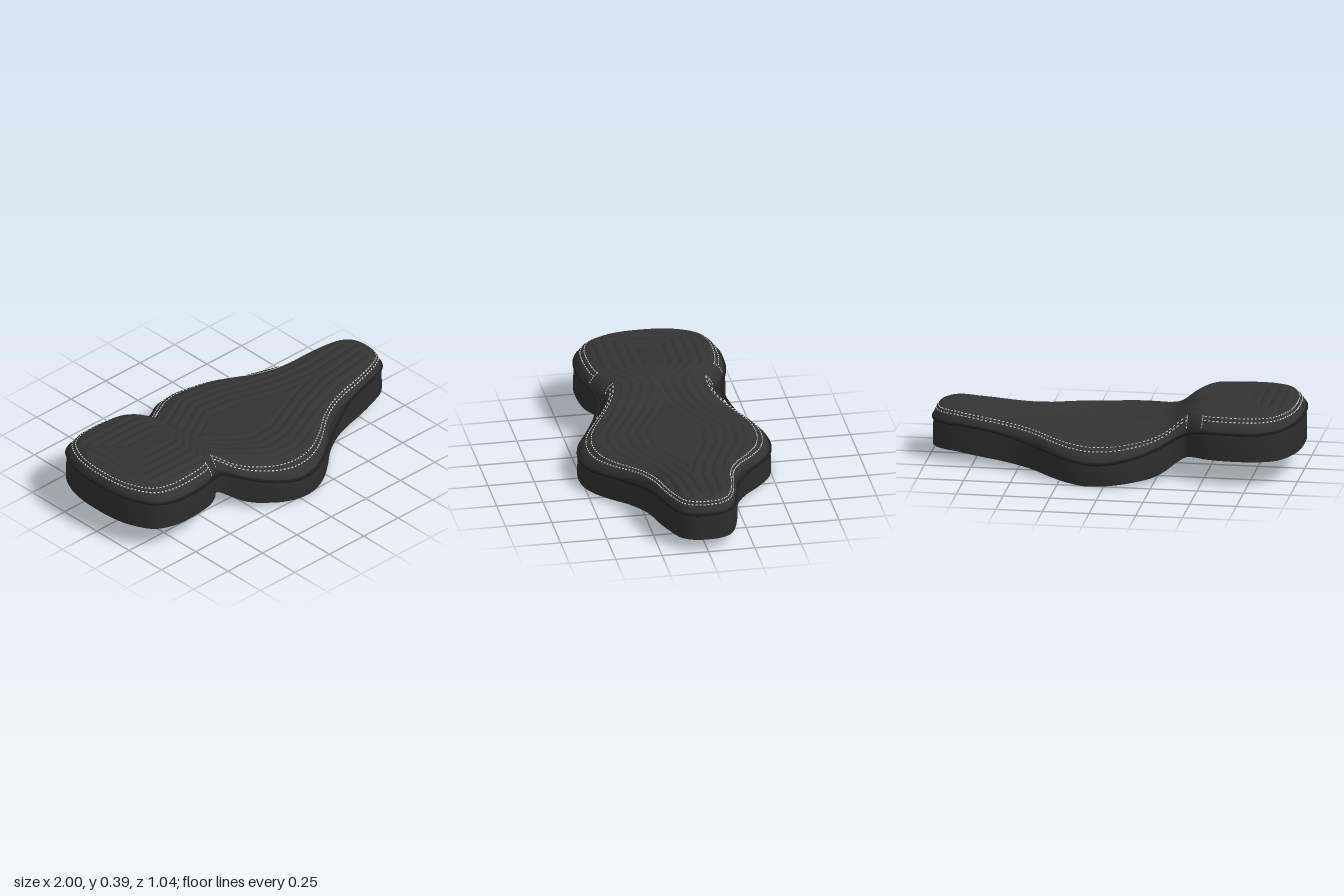
import * as THREE from 'three';
import { mergeGeometries } from 'three/addons/utils/BufferGeometryUtils.js';

const cover = new THREE.MeshStandardMaterial({ color: 0x333333 });
const base = new THREE.MeshStandardMaterial({ color: 0x2c2c2c });
const welt = new THREE.MeshStandardMaterial({ color: 0x1e1e1e });
const thread = new THREE.MeshStandardMaterial({ color: 0xd8d8d8 });
cover.name = 'black cover';
base.name = 'black base';
welt.name = 'dark piping';
thread.name = 'white thread';

// Piecewise-linear profile along x, softened by averaging over a small window
function profile(points, soft) {
  const at = (x) => {
    if (x <= points[0][0]) return points[0][1];
    for (let i = 1; i < points.length; i++) {
      const [x0, y0] = points[i - 1], [x1, y1] = points[i];
      if (x <= x1) return y0 + (y1 - y0) * (x - x0) / (x1 - x0);
    }
    return points[points.length - 1][1];
  };
  return (x) => {
    let sum = 0;
    for (let k = -3; k <= 3; k++) sum += at(x + k * soft / 3);
    return sum / 7;
  };
}

const topY = profile([[-1, 0.392], [-0.48, 0.39], [-0.41, 0.37], [-0.3, 0.272], [-0.24, 0.252],
  [-0.1, 0.235], [0.1, 0.224], [0.3, 0.235], [0.5, 0.256], [0.7, 0.282], [0.86, 0.303], [1, 0.305]], 0.03);
const seamY = profile([[-1, 0.307], [-0.8, 0.29], [-0.5, 0.287], [-0.42, 0.27], [-0.3, 0.2], [-0.2, 0.16],
  [0, 0.126], [0.1, 0.122], [0.2, 0.132], [0.4, 0.167], [0.6, 0.195], [0.8, 0.213], [1, 0.215]], 0.04);
const bottomY = profile([[-1, 0.14], [-0.46, 0.14], [-0.4, 0.122], [-0.3, 0.05], [-0.24, 0.028],
  [0, 0.008], [0.1, 0], [0.3, 0.012], [0.5, 0.028], [0.85, 0.066], [1, 0.068]], 0.03);
// Half width of the innermost quilted panel
const panel = profile([[-0.5, 0.07], [-0.38, -0.06], [-0.04, 0.15], [0.13, 0.14], [0.4, 0.03],
  [0.6, -0.02], [0.95, -0.03]], 0.012);

// Closed outline from the half widths of one side; runs rear, +z side, nose, -z side
function outline(waist, flank, count) {
  const half = [[-0.994, 0.12], [-0.968, 0.23], [-0.9, 0.345], [-0.8, 0.39], [-0.7, 0.398], [-0.6, 0.392],
    [-0.52, 0.375], ...waist, [-0.2, 0.432], [-0.1, 0.493], [0, 0.517], [0.1, 0.507], [0.2, 0.47],
    ...flank, [0.7, 0.212], [0.8, 0.19], [0.9, 0.158], [0.95, 0.125], [0.98, 0.07]];
  const pts = [[-1, 0], ...half, [0.988, 0], ...half.map(([x, z]) => [x, -z]).reverse()];
  const curve = new THREE.CatmullRomCurve3(pts.map(([x, z]) => new THREE.Vector3(x, 0, z)), true);
  curve.arcLengthDivisions = 1500;
  return curve.getSpacedPoints(count).slice(0, count);
}
const bodyOutline = (count) => outline([[-0.46, 0.34], [-0.405, 0.295], [-0.35, 0.31], [-0.3, 0.352]],
  [[0.3, 0.4], [0.4, 0.315], [0.5, 0.258], [0.6, 0.228]], count);
const pipeOutline = (count) => outline([[-0.46, 0.356], [-0.39, 0.34], [-0.3, 0.37]],
  [[0.3, 0.415], [0.4, 0.35], [0.5, 0.295], [0.6, 0.245]], count);

// Shrinks an outline point toward the middle spine
function inset(p, s) {
  const mid = THREE.MathUtils.clamp(p.x, -0.75, 0.8);
  return new THREE.Vector3(mid + (p.x - mid) * s, 0, p.z * s);
}

// Quilting grooves follow nested contours of the panel shape
function groove(x, z, s) {
  let d = Math.max(Math.abs(z) - panel(x), x - 0.87);
  if (x < -0.5) d = Math.max(d, -0.72 - x);
  if (d < -0.02) return 0;
  const fade = 1 - THREE.MathUtils.smoothstep(s, 0.74, 0.82);
  return 0.009 * fade * Math.pow(1 - Math.abs(Math.sin(Math.PI * d / 0.055)), 1.5);
}

function coverPoint(p, s) {
  const q = inset(p, s * 0.98);
  const rise = Math.pow(Math.max(0, 1 - Math.pow(s, 6)), 0.6);
  const low = seamY(q.x);
  q.y = low + (topY(q.x) - low) * rise - groove(q.x, q.z, s);
  return q;
}

// Skins a list of closed rings
function loft(rings) {
  const n = rings[0].length, index = [];
  for (let r = 0; r < rings.length - 1; r++) {
    for (let i = 0; i < n; i++) {
      const j = (i + 1) % n, a = r * n + i, b = r * n + j;
      index.push(a, b, b + n, a, b + n, a + n);
    }
  }
  const geo = new THREE.BufferGeometry().setFromPoints(rings.flat());
  geo.setIndex(index);
  geo.computeVertexNormals();
  return geo;
}

// Short thread laid from a to b
function dash(a, b) {
  const geo = new THREE.BoxGeometry(0.0045, 0.005, a.distanceTo(b));
  const m = new THREE.Matrix4().lookAt(a, b, new THREE.Vector3(0, 1, 0));
  m.setPosition(a.clone().add(b).multiplyScalar(0.5));
  return geo.applyMatrix4(m);
}

export function createModel() {
  const group = new THREE.Group();
  const add = (name, geo, mat) => {
    const mesh = new THREE.Mesh(geo, mat);
    mesh.name = name;
    group.add(mesh);
  };
  const edge = bodyOutline(320);

  // Quilted cover, rings packed more closely near the rim
  const coverRings = [];
  for (let k = 0; k <= 60; k++) {
    const t = k / 60;
    const s = t < 0.2 ? 1 - 0.2 * Math.pow(t / 0.2, 1.6) : 1 - t;
    coverRings.push(edge.map((p) => coverPoint(p, s)));
  }
  add('quiltedCover', loft(coverRings), cover);

  // Side wall between the underside and the seam
  const wall = [[0, 1], [0.4, 1], [0.75, 0.993], [1, 0.98]].map(([t, s]) => edge.map((p) => {
    const q = inset(p, s);
    q.y = THREE.MathUtils.lerp(bottomY(q.x), seamY(q.x), t);
    return q;
  }));
  add('sideWall', loft(wall), base);

  // Underside
  const under = [0, 0.25, 0.5, 0.75, 1].map((s) => edge.map((p) => {
    const q = inset(p, s);
    q.y = bottomY(q.x);
    return q;
  }));
  add('underside', loft(under), base);

  // Piping around the seam
  const pipe = pipeOutline(160).map((p) => {
    const q = inset(p, 0.99);
    q.y = seamY(q.x);
    return q;
  });
  add('piping', new THREE.TubeGeometry(new THREE.CatmullRomCurve3(pipe, true), 400, 0.008, 8, true), welt);

  // Double row of stitches, broken at the waist
  const stitches = [];
  const line = bodyOutline(440);
  for (const s of [0.87, 0.925]) {
    for (let i = 0; i < line.length; i += 2) {
      if (line[i].x > -0.5 && line[i].x < -0.41) continue;
      stitches.push(dash(coverPoint(line[i], s), coverPoint(line[i + 1], s)));
    }
  }
  // Stitches running down the waist panel
  for (const x of [-0.5, -0.415]) {
    for (const side of [1, -1]) {
      const p = line.filter((v) => v.z * side > 0)
        .reduce((best, v) => (Math.abs(v.x - x) < Math.abs(best.x - x) ? v : best));
      for (let s = 0.86; s < 0.99; s += 0.02) stitches.push(dash(coverPoint(p, s), coverPoint(p, s + 0.01)));
    }
  }
  add('stitching', mergeGeometries(stitches), thread);

  return group;
}
